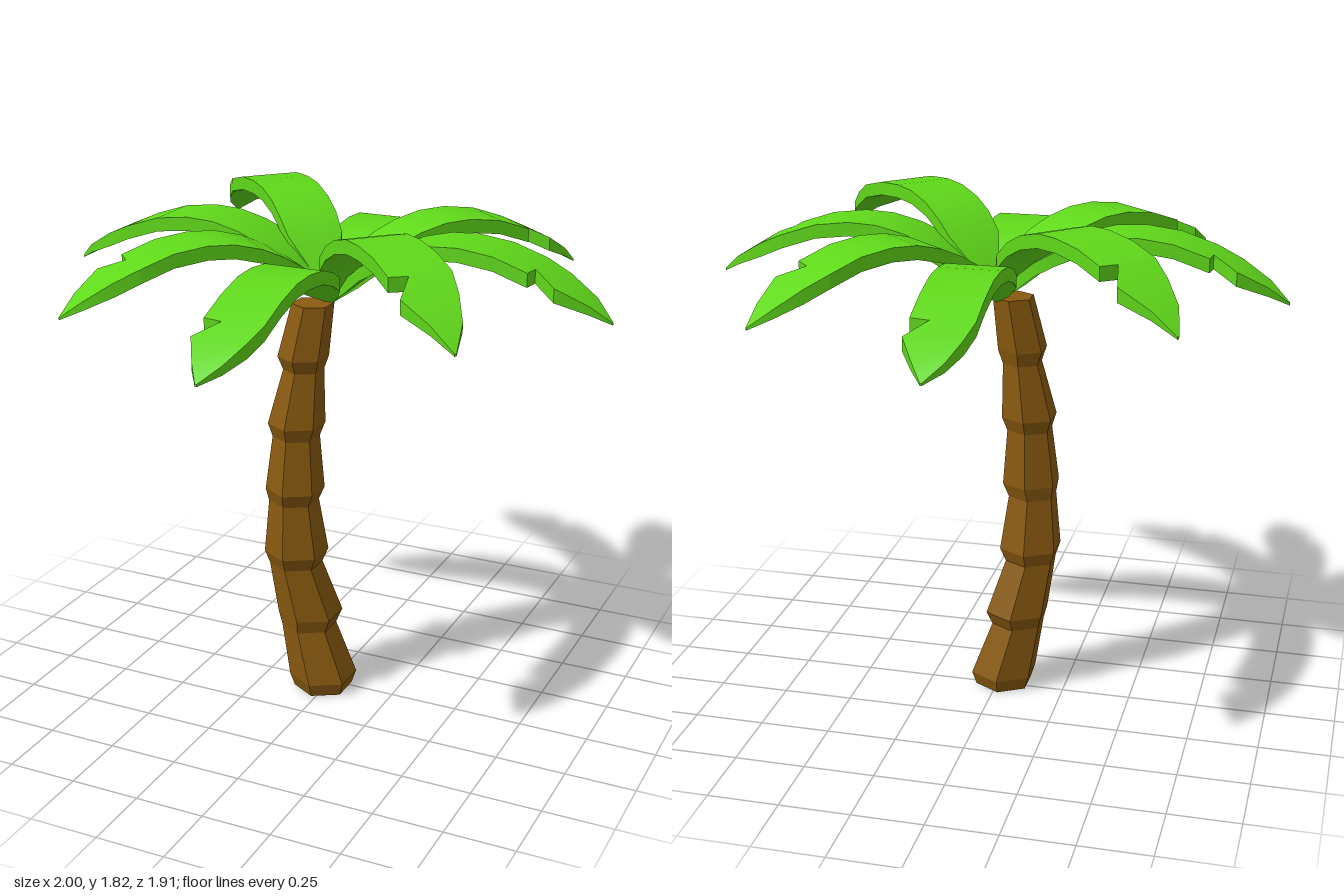
import * as THREE from 'three';
import { toCreasedNormals } from 'three/addons/utils/BufferGeometryUtils.js';

// Skin a list of equally sized closed rings and cap both ends.
function loft(rings) {
  const n = rings[0].length, pos = rings.flat(2), index = [];
  for (let i = 0; i < rings.length - 1; i++) {
    for (let k = 0; k < n; k++) {
      const a = i * n + k, b = i * n + (k + 1) % n;
      index.push(a, b, b + n, a, b + n, a + n);
    }
  }
  const last = (rings.length - 1) * n;
  for (let k = 1; k < n - 1; k++) {
    index.push(0, k + 1, k, last, last + k, last + k + 1);
  }
  const geo = new THREE.BufferGeometry();
  geo.setAttribute('position', new THREE.Float32BufferAttribute(pos, 3));
  geo.setIndex(index);
  geo.computeVertexNormals();
  return geo;
}

// Trunk rings: height, centre x, centre z, corner radius
const TRUNK = [
  [0, -0.018, 0.03, 0.107], [0.05, -0.018, 0.03, 0.124],
  [0.25, -0.07, 0.04, 0.1], [0.3, -0.067, 0.034, 0.118],
  [0.5, -0.112, 0.06, 0.096], [0.55, -0.11, 0.06, 0.116],
  [0.75, -0.115, 0.068, 0.09], [0.8, -0.108, 0.072, 0.106],
  [1.0, -0.102, 0.072, 0.084], [1.05, -0.1, 0.072, 0.102],
  [1.25, -0.076, 0.062, 0.072], [1.3, -0.075, 0.067, 0.09],
  [1.49, -0.045, 0.05, 0.074],
];

// Leaf stations: fraction of length, left half width, right half width (with a notch)
const STATIONS = [
  [0, 0.003, 0.003], [0.08, 0.06, 0.06], [0.15, 0.1, 0.1], [0.22, 0.106, 0.106],
  [0.3, 0.106, 0.106], [0.4, 0.106, 0.106], [0.5, 0.106, 0.106], [0.62, 0.106, 0.106],
  [0.74, 0.106, 0.106], [0.745, 0.105, 0.04], [0.83, 0.088, 0.105],
  [0.93, 0.055, 0.05], [1, 0.003, 0.003],
];

// Top surface heights at each station
const LOW = [1.5, 1.57, 1.62, 1.655, 1.68, 1.69, 1.685, 1.655, 1.61, 1.608, 1.575, 1.53, 1.485];
const MID = [1.5, 1.59, 1.65, 1.69, 1.725, 1.75, 1.755, 1.74, 1.7, 1.698, 1.66, 1.6, 1.54];
const HIGH = [1.5, 1.61, 1.69, 1.745, 1.785, 1.81, 1.815, 1.805, 1.775, 1.773, 1.73, 1.67, 1.6];

function leafGeometry(heights, length) {
  const rings = STATIONS.map(([s, left, right], i) => {
    const x = s * length, top = heights[i];
    const bottom = top - (s === 1 ? 0.008 : s === 0 ? 0.02 : s > 0.9 ? 0.03 : 0.048);
    return [[x, top, -left], [x, top, right], [x, bottom, right], [x, bottom, -left]];
  });
  return toCreasedNormals(loft(rings), 0.6);
}

export function createModel() {
  const tree = new THREE.Group();
  tree.name = 'palmTree';
  const bark = new THREE.MeshStandardMaterial({ color: 0x8a5a10, flatShading: true });
  const green = new THREE.MeshStandardMaterial({ color: 0x60d81a });

  // Six-sided, gently leaning trunk with flared segments
  const trunk = new THREE.Mesh(loft(TRUNK.map(([y, cx, cz, r]) =>
    Array.from({ length: 6 }, (_, k) => {
      const a = (k + 0.5) * Math.PI / 3;
      return [cx + r * Math.cos(a), y, cz - r * Math.sin(a)];
    }))), bark);
  trunk.name = 'trunk';
  tree.add(trunk);

  // Four kinds of leaf, each used twice on opposite sides: heading, length, arch
  const crown = new THREE.Group();
  crown.name = 'crown';
  const kinds = [[0, 1, MID], [47.5, 0.955, MID], [90, 0.955, LOW], [136.5, 0.995, HIGH]];
  for (const [heading, length, heights] of kinds) {
    const geo = leafGeometry(heights, length);
    for (const turn of [0, 180]) {
      const leaf = new THREE.Mesh(geo, green);
      leaf.name = 'leaf';
      leaf.rotation.y = THREE.MathUtils.degToRad(heading + turn);
      crown.add(leaf);
    }
  }
  tree.add(crown);
  return tree;
}
